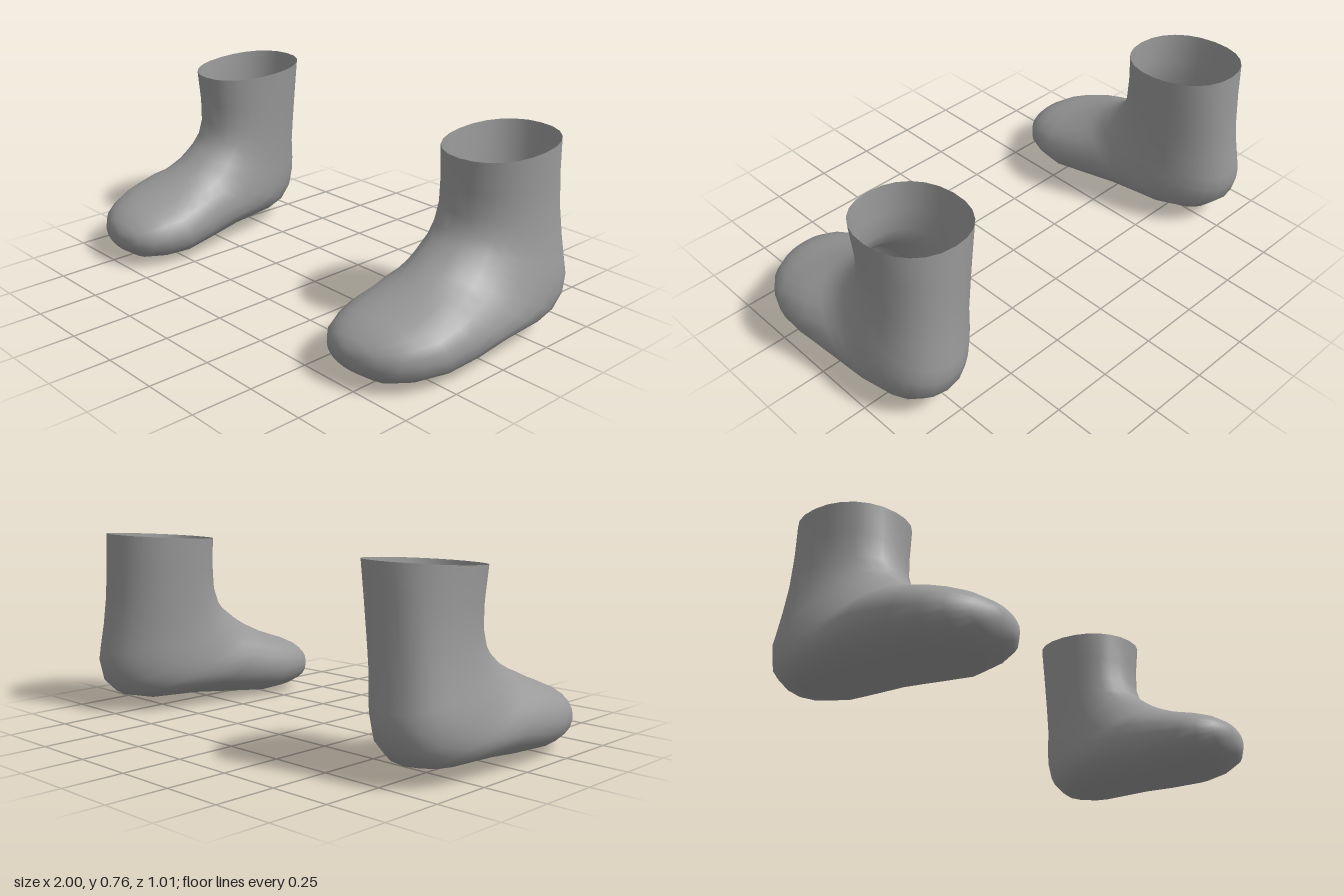
import * as THREE from 'three';

// Cross-sections from cuff, round the heel, to the toes:
// [instep z, instep y, heel/sole z, heel/sole y, centre x, half width, outward skew of the heel side]
const SECTIONS = [
  [-0.02, 0.725, -0.485, 0.76, 0.733, 0.198, 0.0],
  [-0.026, 0.6, -0.484, 0.62, 0.735, 0.189, 0.01],
  [-0.022, 0.51, -0.485, 0.48, 0.74, 0.186, 0.02],
  [0.0, 0.45, -0.49, 0.36, 0.747, 0.19, 0.03],
  [0.035, 0.412, -0.502, 0.26, 0.753, 0.197, 0.035],
  [0.07, 0.385, -0.505, 0.2, 0.757, 0.205, 0.04],
  [0.1, 0.363, -0.485, 0.125, 0.758, 0.213, 0.04],
  [0.13, 0.345, -0.425, 0.067, 0.758, 0.22, 0.035],
  [0.165, 0.325, -0.33, 0.044, 0.757, 0.228, 0.03],
  [0.2, 0.308, -0.1, 0.033, 0.755, 0.24, 0.02],
  [0.25, 0.284, 0.06, 0.016, 0.75, 0.249, 0.01],
  [0.32, 0.258, 0.22, 0.0, 0.739, 0.248, 0.0],
  [0.38, 0.237, 0.34, 0.004, 0.73, 0.22, 0.0],
  [0.43, 0.215, 0.425, 0.021, 0.721, 0.182, 0.0],
  [0.475, 0.185, 0.475, 0.055, 0.711, 0.123, 0.0],
  [0.497, 0.155, 0.495, 0.085, 0.703, 0.06, 0.0],
];
const TIP = [0.7, 0.125, 0.503];
const SEGMENTS = 24;

// Slightly squared ellipse
const round = (v) => Math.sign(v) * Math.pow(Math.abs(v), 0.92);

function sockGeometry(side) {
  const positions = [];
  const indices = [];
  for (const [fz, fy, bz, by, cx, w, skew] of SECTIONS) {
    for (let j = 0; j < SEGMENTS; j++) {
      const a = (j / SEGMENTS) * Math.PI * 2;
      const c = round(Math.cos(a));
      const s = round(Math.sin(a));
      positions.push(
        side * (cx - skew * c) + w * s,
        (fy + by) / 2 + ((fy - by) / 2) * c,
        (fz + bz) / 2 + ((fz - bz) / 2) * c
      );
    }
  }
  const tip = positions.length / 3;
  positions.push(side * TIP[0], TIP[1], TIP[2]);

  // Skin between neighbouring sections, closed at the toe
  for (let i = 0; i < SECTIONS.length; i++) {
    for (let j = 0; j < SEGMENTS; j++) {
      const k = (j + 1) % SEGMENTS;
      const a = i * SEGMENTS + j;
      const b = i * SEGMENTS + k;
      if (i === SECTIONS.length - 1) indices.push(a, tip, b);
      else indices.push(a, a + SEGMENTS, b + SEGMENTS, a, b + SEGMENTS, b);
    }
  }
  const geometry = new THREE.BufferGeometry();
  geometry.setAttribute('position', new THREE.Float32BufferAttribute(positions, 3));
  geometry.setIndex(indices);
  geometry.computeVertexNormals();
  return geometry;
}

export function createModel() {
  const group = new THREE.Group();
  group.name = 'socks';
  // Open at the cuff, so the inside shows too
  const fabric = new THREE.MeshStandardMaterial({ color: 0x999999, side: THREE.DoubleSide });
  fabric.name = 'grey fabric';

  for (const [name, side] of [['leftSock', 1], ['rightSock', -1]]) {
    const sock = new THREE.Mesh(sockGeometry(side), fabric);
    sock.name = name;
    group.add(sock);
  }
  return group;
}
